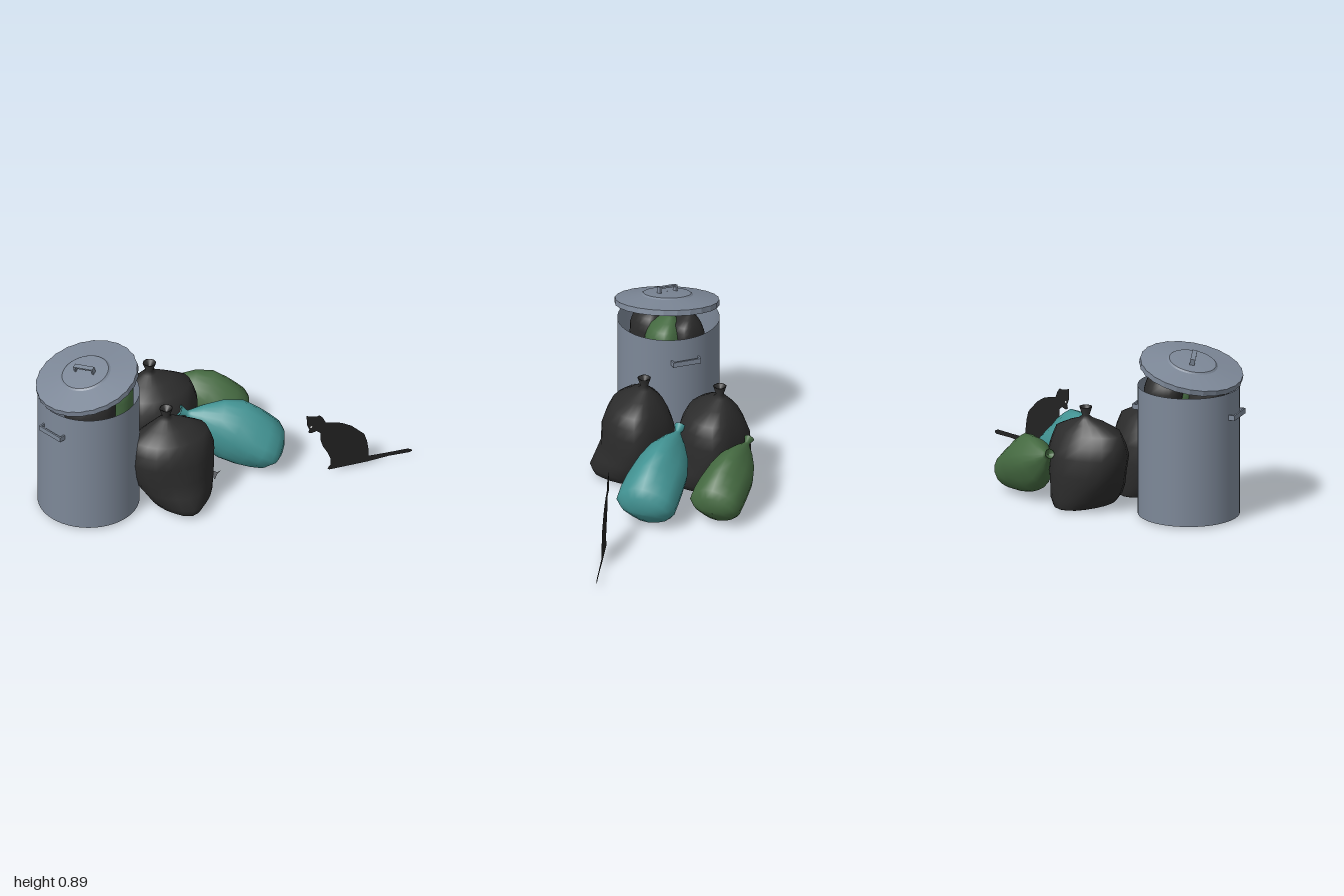
import * as THREE from 'three';
import { toCreasedNormals } from 'three/addons/utils/BufferGeometryUtils.js';

const mat = (name, color, side = THREE.FrontSide) => {
  const m = new THREE.MeshStandardMaterial({ color, side });
  m.name = name;
  return m;
};

// Loft of oval rings [y, cx, cz, rx, rz], bottom to top, with soft folds
function sackGeometry(rings, folds) {
  const sides = 20, pos = [], idx = [];
  rings.forEach(([y, cx, cz, rx, rz]) => {
    for (let j = 0; j < sides; j++) {
      const a = (j / sides) * Math.PI * 2;
      const k = 1 - folds * (0.5 - 0.5 * Math.cos(4 * a)) + folds * 0.35 * Math.sin(5 * a + y * 9);
      pos.push(cx + rx * k * Math.cos(a), y, cz + rz * k * Math.sin(a));
    }
  });
  for (let i = 0; i < rings.length - 1; i++) {
    for (let j = 0; j < sides; j++) {
      const a = i * sides + j, b = i * sides + ((j + 1) % sides);
      idx.push(a, a + sides, b, b, a + sides, b + sides);
    }
  }
  const g = new THREE.BufferGeometry();
  g.setAttribute('position', new THREE.Float32BufferAttribute(pos, 3));
  g.setIndex(idx);
  g.computeVertexNormals();
  return g;
}

// Bracket of three bars: length along x, standing out along y
function strap(name, length, out, breadth, thick, material) {
  const g = new THREE.Group();
  g.name = name;
  const bar = new THREE.Mesh(new THREE.BoxGeometry(length, thick, breadth), material);
  bar.position.y = out - thick / 2;
  bar.name = 'grip';
  g.add(bar);
  for (const s of [-1, 1]) {
    const foot = new THREE.Mesh(new THREE.BoxGeometry(thick, out, breadth), material);
    foot.position.set(s * (length - thick) / 2, out / 2, 0);
    foot.name = 'gripFoot';
    g.add(foot);
  }
  return g;
}

function outline(points) {
  return new THREE.ShapeGeometry(new THREE.Shape(points.map(([x, y]) => new THREE.Vector2(x, y))));
}

export function createModel() {
  const model = new THREE.Group();
  const metal = mat('blue grey metal', 0x7d8898, THREE.DoubleSide);
  const base = mat('light grey base', 0xb2b2b2, THREE.DoubleSide);
  const black = mat('black plastic', 0x2c2c2c, THREE.DoubleSide);
  const teal = mat('teal plastic', 0x429393, THREE.DoubleSide);
  const green = mat('green plastic', 0x456a41, THREE.DoubleSide);
  const fur = mat('black fur', 0x222222, THREE.DoubleSide);
  const grey = mat('grey fur', 0x777b80, THREE.DoubleSide);
  const white = mat('white eye', 0xf2f2f2, THREE.DoubleSide);

  const add = (name, geometry, material, parent = model) => {
    const m = new THREE.Mesh(geometry, material);
    m.name = name;
    parent.add(m);
    return m;
  };

  // Bin: open cylinder with a separate floor
  const R = 0.268, cx = -0.722, cz = 0.075;
  add('binWall', new THREE.CylinderGeometry(R, R, 0.7, 48, 1, true), metal).position.set(cx, 0.365, cz);
  const floor = add('binFloor', new THREE.CircleGeometry(R, 48), base);
  floor.rotation.x = Math.PI / 2;
  floor.position.set(cx, 0.016, cz);

  // Side handles, opposite each other
  for (const s of [1, -1]) {
    const radial = new THREE.Vector3(0.915 * s, 0, -0.403 * s);
    const up = new THREE.Vector3(0, 1, 0);
    const h = strap('binHandle', 0.155, 0.034, 0.028, 0.009, metal);
    h.quaternion.setFromRotationMatrix(new THREE.Matrix4().makeBasis(radial.clone().cross(up), radial, up));
    h.position.set(cx, 0.583, cz).addScaledVector(radial, R - 0.012);
    model.add(h);
  }

  // Tilted lid with a fluted rim, cone and raised middle
  const lid = new THREE.Group();
  lid.name = 'lid';
  const profile = [[0.274, -0.024], [0.274, 0.006], [0.135, 0.029], [0.125, 0.037], [0.001, 0.044]];
  const lidGeo = new THREE.LatheGeometry(profile.map(([x, y]) => new THREE.Vector2(x, y)), 48);
  const p = lidGeo.attributes.position;
  for (let i = 0; i < p.count; i++) {
    const x = p.getX(i), z = p.getZ(i);
    if (Math.hypot(x, z) < 0.25) continue;
    const step = Math.round((Math.atan2(z, x) / (Math.PI * 2)) * 48 + 48);
    const k = step % 2 ? 0.988 : 1.005;
    p.setX(i, x * k);
    p.setZ(i, z * k);
  }
  add('lidShell', toCreasedNormals(lidGeo, 0.3), metal, lid);
  const grip = strap('lidHandle', 0.115, 0.034, 0.026, 0.009, metal);
  grip.position.y = 0.04;
  grip.rotation.y = -0.85;
  lid.add(grip);
  lid.position.set(-0.735, 0.81, 0.083);
  lid.rotation.z = 0.25;
  model.add(lid);

  // Upright sack, origin under the knot
  const upright = sackGeometry([
    [0.015, 0.04, 0.05, 0.001, 0.001], [0.016, 0.045, 0.05, 0.125, 0.2], [0.022, 0.045, 0.05, 0.14, 0.21],
    [0.065, 0.045, 0.057, 0.175, 0.222], [0.13, 0.03, 0.045, 0.205, 0.208], [0.2, 0.022, 0.032, 0.228, 0.195],
    [0.3, 0.012, 0.035, 0.243, 0.19], [0.36, 0.01, 0.037, 0.228, 0.168], [0.42, 0.01, 0.037, 0.205, 0.135],
    [0.465, 0.005, 0.02, 0.115, 0.08], [0.495, 0, 0, 0.04, 0.036], [0.512, 0, 0, 0.02, 0.02],
    [0.558, 0, 0, 0.036, 0.035], [0.558, 0, 0, 0.03, 0.03], [0.525, 0, 0, 0.001, 0.001],
  ], 0.05);
  const placeUpright = (name, material, x, y, z, scale, turn = 0) => {
    const m = add(name, upright, material);
    m.position.set(x, y, z);
    m.scale.setScalar(scale);
    m.rotation.y = turn;
  };
  placeUpright('frontBlackSack', black, -0.325, 0, 0.175, 1);
  placeUpright('backBlackSack', black, -0.26, 0, -0.227, 1, 0.06);

  // Sacks stuffed in the bin
  placeUpright('innerBlackSackFront', black, -0.76, 0.49, 0.145, 0.6);
  placeUpright('innerGreenSack', green, -0.622, 0.482, 0.06, 0.59);
  placeUpright('innerBlackSackBack', black, -0.64, 0.535, -0.04, 0.5);

  // Lying sacks, from base point to knot end
  const lying = sackGeometry([
    [-0.07, 0, 0, 0.001, 0.001], [-0.065, 0, 0, 0.05, 0.075], [-0.04, 0, 0, 0.1, 0.135], [0, 0, 0.008, 0.135, 0.163],
    [0.06, 0, 0.008, 0.155, 0.162], [0.13, 0, 0.005, 0.17, 0.156], [0.23, 0, 0, 0.178, 0.142],
    [0.33, 0, 0, 0.142, 0.11], [0.42, 0, 0, 0.075, 0.062], [0.47, 0, 0, 0.028, 0.026], [0.488, 0, 0, 0.016, 0.016],
    [0.527, 0, 0, 0.032, 0.032], [0.527, 0, 0, 0.027, 0.027], [0.5, 0, 0, 0.001, 0.001],
  ], 0.06);
  const placeLying = (name, material, from, to, scale) => {
    const a = new THREE.Vector3(...from);
    const y = new THREE.Vector3(...to).sub(a).normalize();
    const z = new THREE.Vector3(0, -0.12, 1);
    z.addScaledVector(y, -z.dot(y)).normalize();
    const m = add(name, lying, material);
    m.quaternion.setFromRotationMatrix(new THREE.Matrix4().makeBasis(y.clone().cross(z), y, z));
    m.position.copy(a);
    m.scale.setScalar(scale);
  };
  placeLying('tealSack', teal, [0.28, 0.125, 0.115], [-0.16, 0.355, -0.022], 1);
  placeLying('greenSack', green, [0.235, 0.115, -0.245], [-0.145, 0.305, -0.385], 0.87);

  // Sitting cat, a flat cut-out
  const cat = new THREE.Group();
  cat.name = 'cat';
  add('catBody', outline([
    [0.415, 0.395], [0.44, 0.385], [0.47, 0.378], [0.487, 0.382], [0.505, 0.362], [0.522, 0.325], [0.56, 0.318],
    [0.61, 0.303], [0.665, 0.27], [0.71, 0.225], [0.735, 0.2], [0.75, 0.15], [0.757, 0.1], [0.757, 0.052],
    [0.85, 0.048], [0.975, 0.046], [0.995, 0.037], [1, 0.026], [0.985, 0.02], [0.87, 0.024], [0.75, 0.016],
    [0.54, 0.015], [0.53, 0.024], [0.547, 0.045], [0.546, 0.09], [0.53, 0.13], [0.505, 0.175], [0.492, 0.22],
    [0.492, 0.265], [0.47, 0.283], [0.44, 0.276], [0.424, 0.285], [0.43, 0.305], [0.417, 0.335],
  ]), fur, cat);
  for (const s of [1, -1]) {
    const eye = add('catEye', new THREE.CircleGeometry(0.006, 10), white, cat);
    eye.position.set(0.44, 0.318, 0.002 * s);
  }
  cat.rotation.y = -0.045;
  cat.position.z = 0.289;
  model.add(cat);

  // Small mouse, a flat cut-out
  const mouse = add('mouse', outline([
    [-0.095, 0.06], [-0.085, 0.068], [-0.078, 0.084], [-0.068, 0.068], [-0.05, 0.068], [-0.035, 0.055],
    [-0.015, 0.062], [-0.032, 0.046], [-0.04, 0.034], [-0.045, 0.016], [-0.053, 0.016], [-0.056, 0.03],
    [-0.064, 0.03], [-0.068, 0.016], [-0.076, 0.016], [-0.074, 0.04], [-0.082, 0.05],
  ]), grey);
  mouse.position.z = 0.17;

  return model;
}
